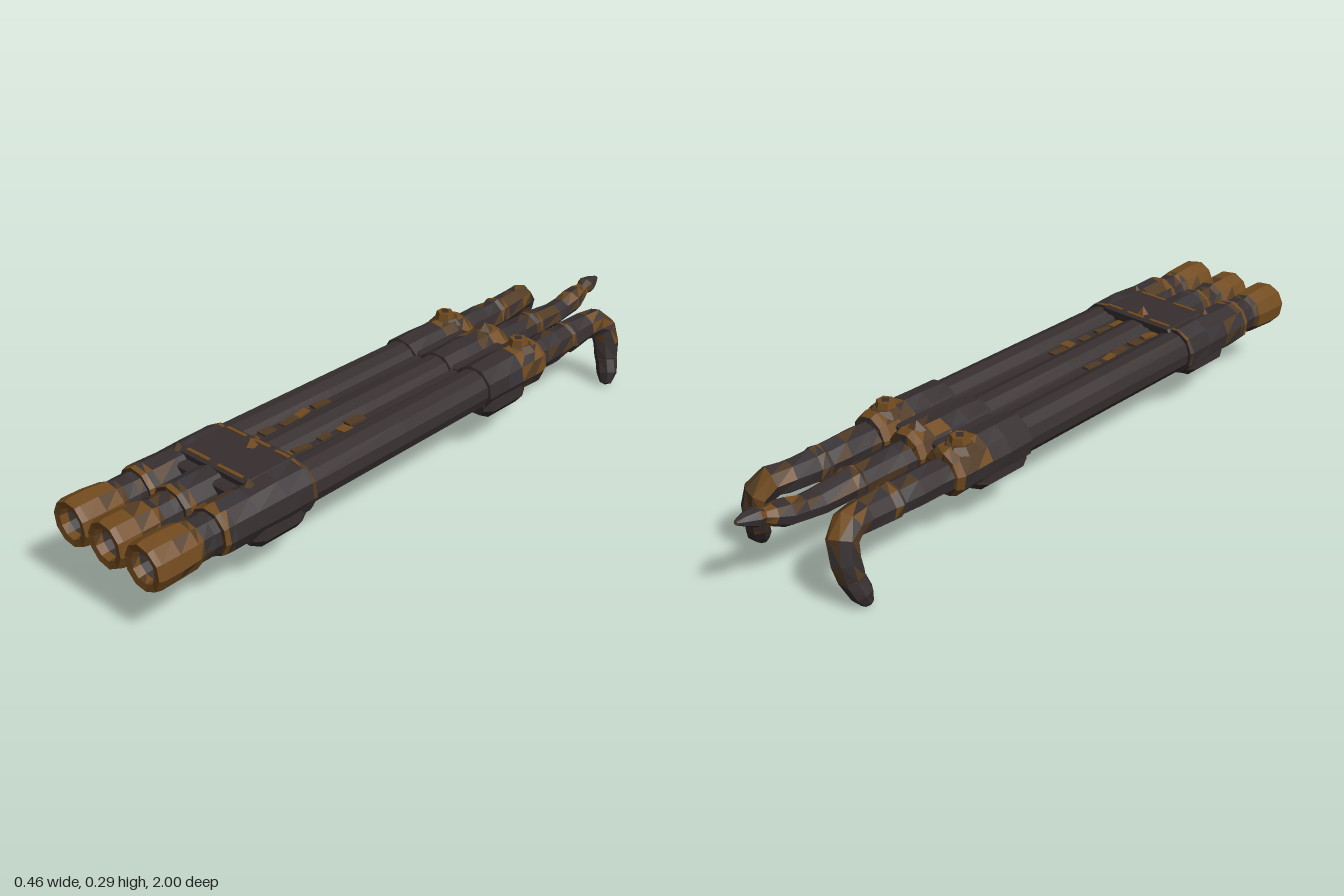
import * as THREE from 'three';

const mat = (name, color) => {
  const m = new THREE.MeshStandardMaterial({ color, flatShading: true });
  m.name = name;
  return m;
};
const iron = mat('dark iron', 0x362e2f);
const steel = mat('worn steel', 0x383336);
const rust = mat('rust', 0x714a1e);
const brown = mat('brown rust', 0x503a23);
const MATS = [iron, steel, rust, brown];

// Surface codes: lists of material indices picked face by face
const SKIN = {
  iron: [0], steel: [1, 0, 0], rust: [2], worn: [2, 2, 2, 3], patchy: [0, 1, 3, 0, 0], mixed: [2, 0, 3, 1, 3],
  topRust: [2, 3, 2, 3, 0],
};

let seed = 7;
const rnd = () => ((seed = (seed * 16807) % 2147483647) / 2147483647);

// Faceted loft through rings [x, y, z, radius, skin of the section that follows];
// topRust sections gather their rust on the upper half
function loft(name, rings, { sides = 9, axis = null, wobble = 0.04, squash = 1 } = {}) {
  const P = rings.map(r => new THREE.Vector3(r[0], r[1], r[2]));
  const loops = rings.map((r, i) => {
    const d = axis ? axis.clone()
      : P[Math.min(i + 1, P.length - 1)].clone().sub(P[Math.max(i - 1, 0)]).normalize();
    const u = new THREE.Vector3(1, 0, 0);
    u.addScaledVector(d, -u.dot(d)).normalize();
    const v = d.clone().cross(u);
    return Array.from({ length: sides }, (_, k) => {
      const a = ((k + 0.25) / sides) * Math.PI * 2;
      const rad = r[3] * (1 + (rnd() - 0.5) * 2 * wobble);
      return P[i].clone().addScaledVector(u, Math.cos(a) * rad).addScaledVector(v, Math.sin(a) * rad * squash);
    });
  });
  const buckets = MATS.map(() => []);
  for (let i = 0; i < loops.length - 1; i++) {
    const code = rings[i][4] || 'iron';
    for (let k = 0; k < sides; k++) {
      const n = (k + 1) % sides;
      const [a, b, c, d] = [loops[i][k], loops[i][n], loops[i + 1][k], loops[i + 1][n]];
      const low = a.y + b.y + c.y + d.y < 2 * (P[i].y + P[i + 1].y);
      const skin = SKIN[code === 'topRust' && low ? 'patchy' : code];
      for (const tri of [[a, b, c], [b, d, c]]) {
        const bucket = buckets[skin[Math.floor(rnd() * skin.length)]];
        for (const p of tri) bucket.push(p.x, p.y, p.z);
      }
    }
  }
  const g = new THREE.BufferGeometry();
  let start = 0;
  buckets.forEach((b, i) => {
    if (b.length) g.addGroup(start, b.length / 3, i);
    start += b.length / 3;
  });
  g.setAttribute('position', new THREE.Float32BufferAttribute(buckets.flat(), 3));
  g.computeVertexNormals();
  const m = new THREE.Mesh(g, MATS);
  m.name = name;
  return m;
}

function part(name, geo, material, x, y, z) {
  const m = new THREE.Mesh(geo, material);
  m.name = name;
  m.position.set(x, y, z);
  return m;
}

// Cross-section in x and y extruded along z between z0 and z1
function slab(name, pts, z0, z1, material, bevel = 0.01) {
  const s = new THREE.Shape(pts.map(p => new THREE.Vector2(p[0], p[1])));
  const g = new THREE.ExtrudeGeometry(s, {
    depth: z1 - z0 - 2 * bevel, bevelEnabled: true, bevelSize: bevel * 0.5,
    bevelThickness: bevel, bevelOffset: -bevel * 0.5, bevelSegments: 1,
  });
  return part(name, g, material, 0, 0, z0 + bevel);
}

export function createModel() {
  const root = new THREE.Group();
  root.name = 'tripleBarrel';
  const back = new THREE.Vector3(0, 0, -1);
  const Y = 0.197;
  const xs = [-0.127, 0.007, 0.145];

  xs.forEach(x => {
    const ring = (z, r, skin) => [x, Y, z, r, skin];
    // Muzzle: bore, wide lip and flared rusty sleeve
    root.add(loft('muzzle', [
      ring(0.72, 0.001, 'steel'), ring(0.72, 0.039, 'steel'), ring(0.975, 0.04, 'worn'), ring(0.997, 0.043, 'rust'),
      ring(1, 0.062, 'rust'), ring(0.985, 0.067, 'rust'), ring(0.93, 0.066, 'worn'),
      ring(0.875, 0.062, 'mixed'), ring(0.855, 0.057, 'patchy'), ring(0.82, 0.056, 'patchy'), ring(0.78, 0.056),
    ], { axis: back, sides: 10, wobble: 0.025 }));
    // Long barrel
    root.add(loft('barrel', [ring(0.55, 0.062), ring(0.15, 0.061), ring(-0.25, 0.06)],
      { axis: back, sides: 12, wobble: 0.01 }));
    // Front and rear clamp sleeves
    root.add(loft('frontSleeve', [
      ring(0.8, 0.05, 'mixed'), ring(0.8, 0.066, 'worn'), ring(0.785, 0.069, 'mixed'), ring(0.765, 0.068, 'patchy'),
      ring(0.69, 0.069, 'steel'), ring(0.6, 0.072, 'steel'), ring(0.512, 0.072, 'topRust'),
      ring(0.5, 0.07, 'iron'), ring(0.5, 0.05),
    ], { axis: back, sides: 10, wobble: 0.025 }));
    root.add(loft('rearSleeve', [
      ring(-0.19, 0.05), ring(-0.195, 0.068, 'iron'), ring(-0.28, 0.07, 'steel'), ring(-0.345, 0.069, 'topRust'),
      ring(-0.4, 0.07, 'topRust'), ring(-0.445, 0.07, 'worn'), ring(-0.465, 0.062, 'mixed'), ring(-0.47, 0.03),
    ], { axis: back, sides: 10, wobble: 0.03 }));
  });

  // Curved side pipes, mirrored about the middle barrel
  for (const s of [1, -1]) {
    const q = (x, y, z, r, skin) => [0.006 + s * x, y, z, r, skin];
    root.add(loft('hookPipe', [
      q(0.137, 0.195, -0.44, 0.05, 'patchy'), q(0.137, 0.196, -0.5, 0.05, 'patchy'),
      q(0.136, 0.196, -0.57, 0.049, 'patchy'), q(0.135, 0.197, -0.63, 0.047, 'mixed'),
      q(0.135, 0.198, -0.642, 0.052, 'mixed'), q(0.135, 0.198, -0.665, 0.047, 'patchy'),
      q(0.138, 0.202, -0.74, 0.044, 'topRust'), q(0.147, 0.203, -0.785, 0.043, 'topRust'),
      q(0.16, 0.18, -0.818, 0.041, 'mixed'), q(0.172, 0.13, -0.823, 0.039, 'patchy'),
      q(0.18, 0.085, -0.816, 0.037, 'mixed'), q(0.183, 0.075, -0.814, 0.034, 'iron'),
      q(0.198, 0.04, -0.802, 0.032, 'steel'), q(0.203, 0.01, -0.79, 0.018, 'iron'), q(0.203, 0.004, -0.788, 0.001),
    ], { sides: 8, wobble: 0.06 }));
  }

  // Middle pipe with pinched, rising tip
  const t = (y, z, r, skin) => [0.007, y, z, r, skin];
  root.add(loft('tipPipe', [
    t(Y, -0.44, 0.05, 'patchy'), t(Y, -0.5, 0.049, 'patchy'), t(Y, -0.57, 0.048, 'patchy'), t(Y, -0.63, 0.047, 'mixed'),
    t(Y, -0.642, 0.053, 'mixed'), t(Y, -0.665, 0.047, 'patchy'), t(0.195, -0.76, 0.041, 'patchy'),
    t(0.2, -0.81, 0.038, 'mixed'), t(0.21, -0.86, 0.042, 'topRust'), t(0.222, -0.9, 0.032, 'worn'),
    t(0.23, -0.925, 0.022, 'mixed'), t(0.237, -0.945, 0.03, 'iron'), t(0.243, -0.975, 0.02, 'steel'),
    t(0.246, -1, 0.007, 'rust'), t(0.246, -1, 0.001),
  ], { sides: 8, wobble: 0.05, squash: 0.85 }));

  // Clamp blocks filling the space between sleeves, with trapezoid feet below
  const web = top => [[-0.13, 0.145], [0.15, 0.145], [0.15, top], [-0.13, top]];
  const foot = [[-0.155, 0.109], [0.185, 0.109], [0.207, 0.135], [0.205, 0.17], [-0.183, 0.17], [-0.185, 0.135]];
  root.add(slab('frontWeb', web(0.25), 0.5, 0.7, iron));
  root.add(slab('rearWeb', web(0.238), -0.42, -0.2, iron));
  root.add(slab('frontFoot', foot, 0.52, 0.7, iron, 0.03));
  root.add(slab('rearFoot', foot, -0.38, -0.19, iron, 0.03));

  // Raised top plate with chipped rusty edges
  const plate = [[-0.13, 0.245], [0.145, 0.245], [0.13, 0.268], [-0.115, 0.268]];
  root.add(slab('topPlate', plate, 0.49, 0.665, iron, 0.008));
  for (const [x, z, w] of [[-0.07, 0.507, 0.07], [0.02, 0.505, 0.06], [0.1, 0.508, 0.05], [0.065, 0.652, 0.09], [-0.055, 0.65, 0.08]])
    root.add(part('rustEdge', new THREE.BoxGeometry(w, 0.006, 0.011), rust, x, 0.2675, z));

  // Spike on the front plate and small studs beside it
  root.add(part('spike', new THREE.ConeGeometry(0.025, 0.035, 5), rust, 0.01, 0.275, 0.53));
  for (const x of [-0.122, 0.14])
    root.add(part('stud', new THREE.ConeGeometry(0.018, 0.024, 5), brown, x, 0.271, 0.66));

  // Bolts on the rear clamp: rusty patch, tapered base and dark sunken head
  for (const x of [-0.132, 0.147]) {
    root.add(part('rustPatch', new THREE.CylinderGeometry(0.034, 0.052, 0.018, 7), brown, x, 0.258, -0.405));
    root.add(part('boltBase', new THREE.CylinderGeometry(0.025, 0.035, 0.036, 6), rust, x, 0.267, -0.4));
    root.add(part('boltHead', new THREE.CylinderGeometry(0.014, 0.014, 0.003, 4), iron, x, 0.2855, -0.4));
  }
  root.add(part('middleBolt', new THREE.ConeGeometry(0.03, 0.024, 5), brown, 0.007, 0.272, -0.42));

  // Thin rods in the grooves, with flakes of rust
  for (const x of [-0.062, 0.076]) {
    root.add(part('grooveRod', new THREE.BoxGeometry(0.026, 0.05, 0.72), iron, x, 0.205, 0.15));
    for (let k = 0; k < 5; k++) {
      const flake = part('rustFlake', new THREE.BoxGeometry(0.018 + 0.018 * rnd(), 0.008, 0.025 + 0.035 * rnd()),
        k % 3 === 1 ? rust : brown, x + (rnd() - 0.5) * 0.016, 0.232, 0.2 + k * 0.065 + rnd() * 0.02);
      flake.rotation.y = (rnd() - 0.5) * 0.5;
      root.add(flake);
    }
  }
  return root;
}
